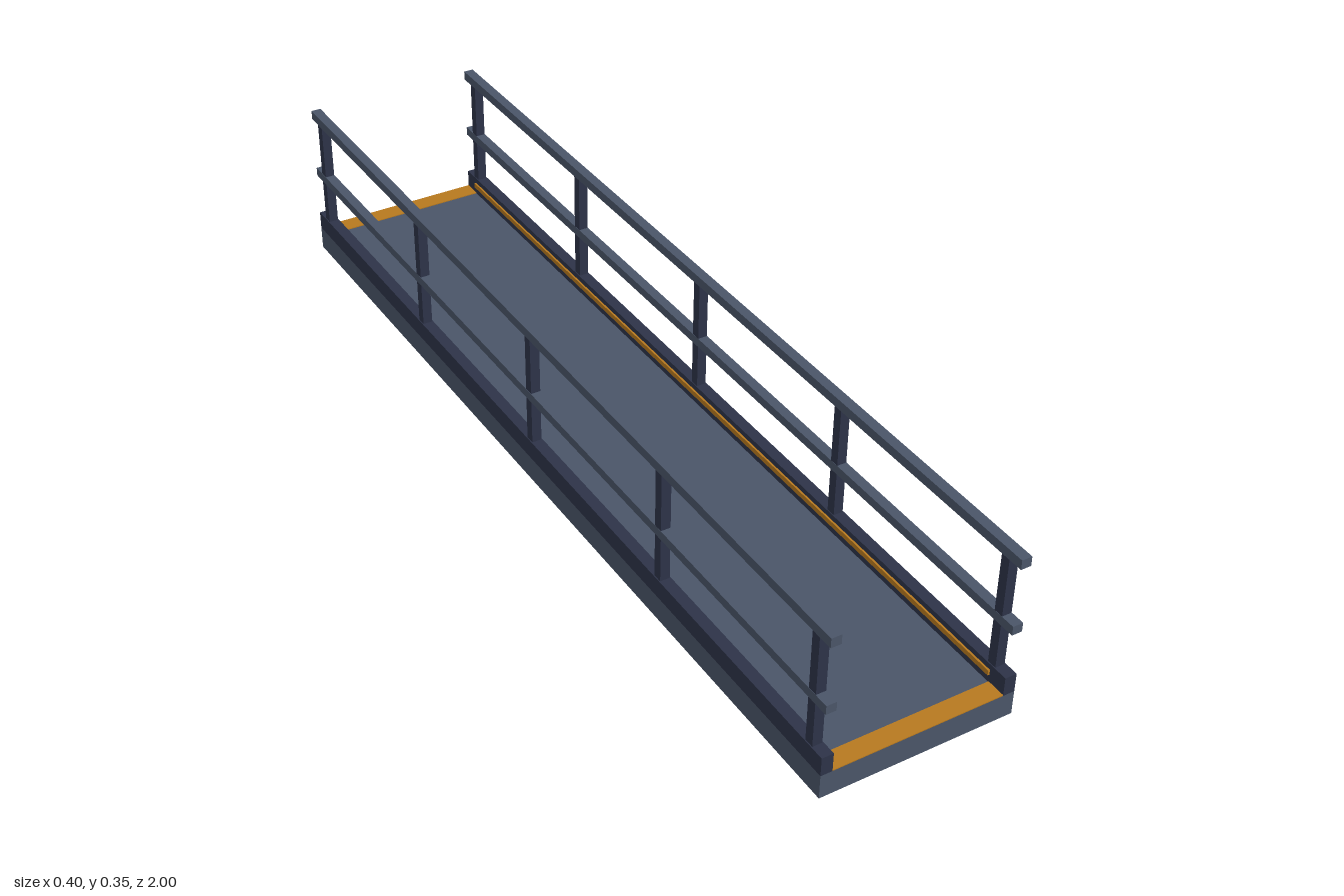
import * as THREE from 'three';

export function createModel() {
  const group = new THREE.Group();
  const steel = new THREE.MeshStandardMaterial({ name: 'slate steel', color: 0x4a5568 });
  const dark = new THREE.MeshStandardMaterial({ name: 'dark steel', color: 0x2d3348 });
  const amber = new THREE.MeshStandardMaterial({ name: 'amber marking', color: 0xb7791f });

  // Box given by its size, centre in x and z, and bottom height
  function box(name, material, [w, h, d], [x, bottom, z], parent = group) {
    const mesh = new THREE.Mesh(new THREE.BoxGeometry(w, h, d), material);
    mesh.name = name;
    mesh.position.set(x, bottom + h / 2, z);
    parent.add(mesh);
  }

  // Walkway deck
  box('deck', steel, [0.4, 0.051, 2], [0, 0, 0]);

  // Painted warning bands at both ends
  for (const end of [-1, 1]) {
    box('endBand', amber, [0.352, 0.002, 0.04], [0, 0.051, end * 0.98]);
  }

  for (const side of [-1, 1]) {
    const railing = new THREE.Group();
    railing.name = side > 0 ? 'leftRailing' : 'rightRailing';
    group.add(railing);
    const x = side * 0.188;

    // Toe board with its inner stripe
    box('toeBoard', dark, [0.024, 0.04, 2], [x, 0.051, 0], railing);
    box('toeStripe', amber, [0.004, 0.011, 1.92], [side * 0.174, 0.068, 0], railing);

    // Posts
    for (let i = -2; i <= 2; i++) {
      box('post', dark, [0.02, 0.239, 0.02], [x, 0.091, i * 0.48], railing);
    }

    // Handrail and middle rail
    box('handrail', steel, [0.021, 0.02, 2], [x, 0.329, 0], railing);
    box('middleRail', steel, [0.021, 0.019, 2], [x, 0.187, 0], railing);
  }
  return group;
}
